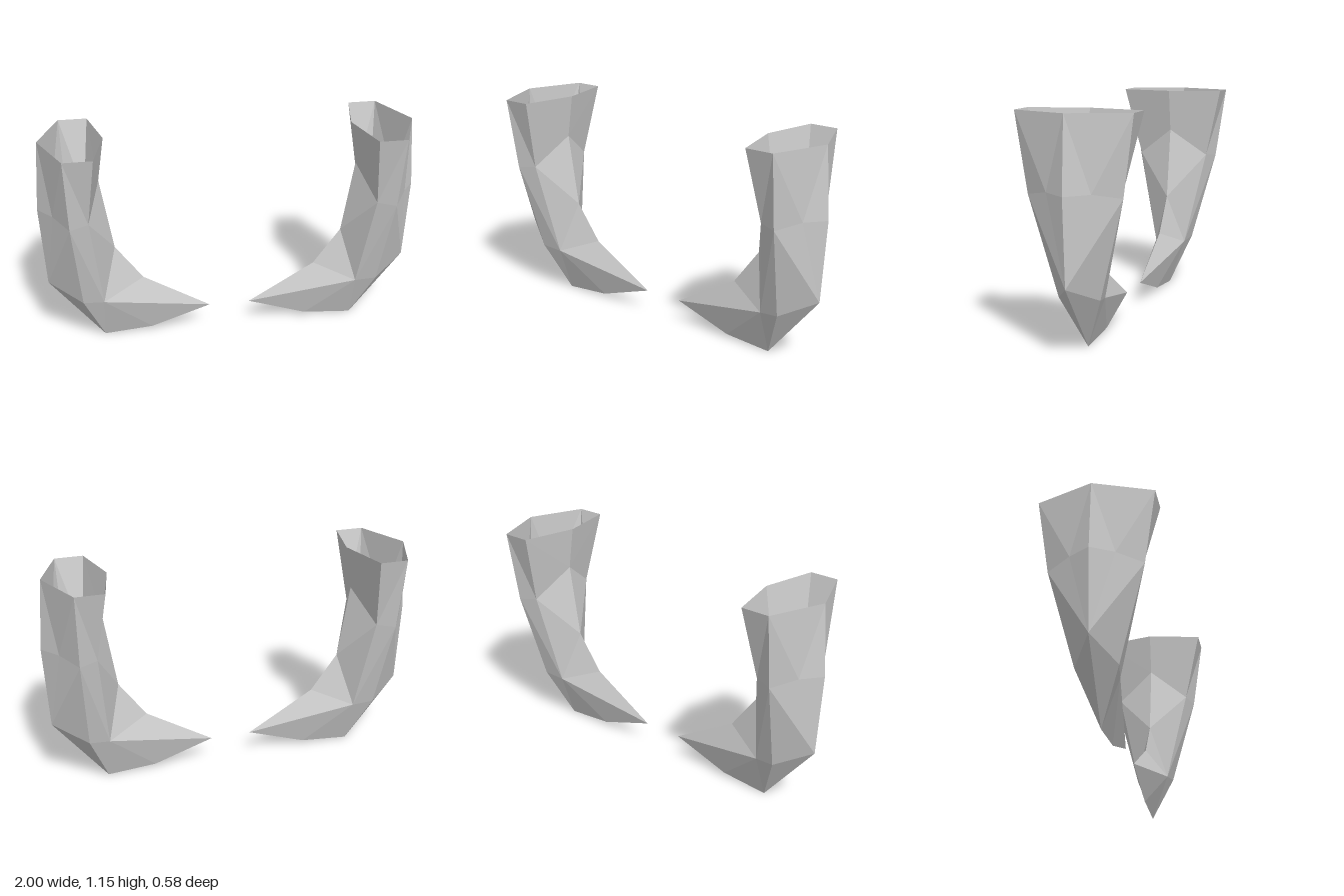
import * as THREE from 'three';

// Front half of the left leg (x > 0, z >= 0); the rest is mirrored
const P = {
  // open top rim
  topOuter: [0.975, 1.15, 0], topOuterFront: [0.86, 1.15, 0.29],
  topInnerFront: [0.71, 1.15, 0.29], topInner: [0.645, 1.15, 0],
  // middle ring
  midOuter: [1.0, 0.78, 0], midSide: [0.925, 0.785, 0.11], midOuterFront: [0.845, 0.76, 0.235],
  midInnerFront: [0.75, 0.77, 0.2], midInner: [0.68, 0.92, 0],
  // ankle ring
  lowOuter: [0.975, 0.35, 0], lowOuterFront: [0.8, 0.265, 0.105],
  lowInnerFront: [0.69, 0.25, 0.088], lowInner: [0.615, 0.53, 0],
  // claw
  heel: [0.69, 0, 0], sole: [0.43, 0.02, 0], tip: [0.11, 0.125, 0], instep: [0.47, 0.335, 0],
};

const SHIN = [
  // outer side
  'topOuter topOuterFront midSide', 'topOuter midSide midOuter', 'topOuterFront midOuterFront midSide',
  'midOuter midSide lowOuter', 'midSide midOuterFront lowOuter', 'midOuterFront lowOuterFront lowOuter',
  // front strip
  'topOuterFront topInnerFront midInnerFront', 'topOuterFront midInnerFront midOuterFront',
  'midOuterFront midInnerFront lowInnerFront', 'midOuterFront lowInnerFront lowOuterFront',
  // inner side
  'topInnerFront topInner midInner', 'topInnerFront midInner midInnerFront',
  'midInnerFront midInner lowInner', 'midInnerFront lowInner lowInnerFront',
];
const CLAW = [
  'lowOuter lowOuterFront heel', 'lowOuterFront lowInnerFront heel',
  'lowInnerFront sole heel', 'lowInnerFront tip sole',
  'lowInnerFront instep tip', 'lowInnerFront lowInner instep',
];

const material = new THREE.MeshStandardMaterial({
  color: 0xcccccc, flatShading: true, side: THREE.DoubleSide,
});

// Faces plus their z mirror, on the given side of x; winding flips with each mirror
function shell(name, faces, sx) {
  const pos = [];
  for (const sz of [1, -1]) {
    for (const face of faces) {
      const corners = face.split(' ');
      if (sx * sz < 0) corners.reverse();
      for (const c of corners) {
        const [x, y, z] = P[c];
        pos.push(x * sx, y, z * sz);
      }
    }
  }
  const geometry = new THREE.BufferGeometry();
  geometry.setAttribute('position', new THREE.Float32BufferAttribute(pos, 3));
  geometry.computeVertexNormals();
  const mesh = new THREE.Mesh(geometry, material);
  mesh.name = name;
  return mesh;
}

export function createModel() {
  const model = new THREE.Group();
  model.name = 'clawPair';
  for (const [side, sx] of [['left', 1], ['right', -1]]) {
    const leg = new THREE.Group();
    leg.name = side + 'Leg';
    leg.add(shell(side + 'Shin', SHIN, sx), shell(side + 'Claw', CLAW, sx));
    model.add(leg);
  }
  return model;
}
